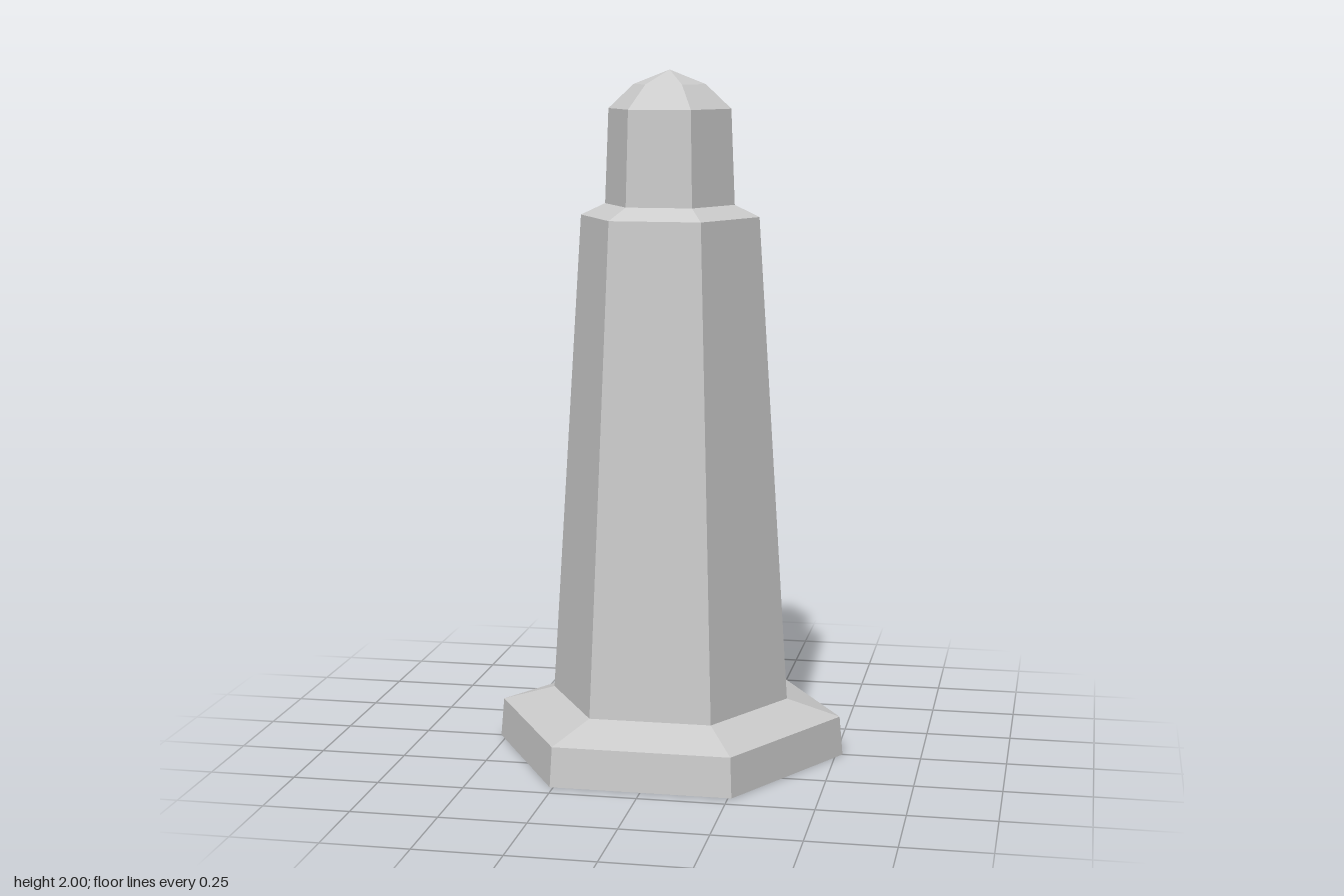
import * as THREE from 'three';

const SIDES = 6;

// Each part is a stretch of the tower profile, as [radius, height] from bottom to top.
const PARTS = {
  base: [[0, 0], [0.52, 0], [0.51, 0.115], [0.353, 0.162]],
  shaft: [[0.353, 0.162], [0.262, 1.583]],
  shoulder: [[0.262, 1.583], [0.19, 1.617]],
  lantern: [[0.19, 1.617], [0.179, 1.89]],
  domeCap: [[0.179, 1.89], [0.105, 1.959], [0, 2]],
};

export function createModel() {
  const group = new THREE.Group();
  group.name = 'hexagonalTower';
  const material = new THREE.MeshStandardMaterial({ color: 0xcccccc, flatShading: true });

  for (const [name, profile] of Object.entries(PARTS)) {
    const points = profile.map(([r, y]) => new THREE.Vector2(r, y));
    // Start at a quarter turn so that corners point along x
    const geometry = new THREE.LatheGeometry(points, SIDES, Math.PI / 2);
    const mesh = new THREE.Mesh(geometry, material);
    mesh.name = name;
    group.add(mesh);
  }
  return group;
}
